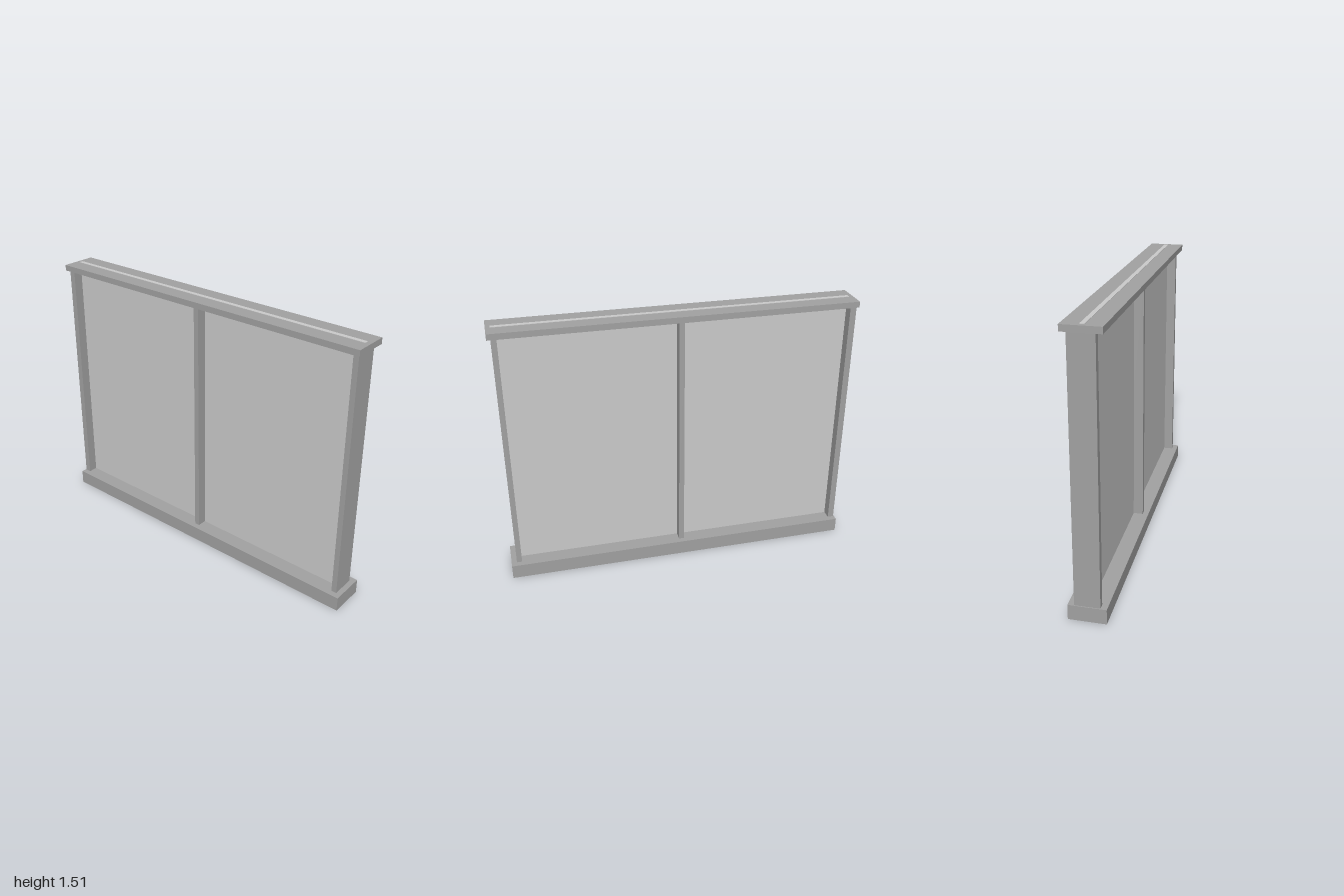
import * as THREE from 'three';

export function createModel() {
  const model = new THREE.Group();
  model.name = 'framedPanel';
  const frameMat = new THREE.MeshStandardMaterial({ color: 0xa2a2a2 });
  const panelMat = new THREE.MeshStandardMaterial({ color: 0xcccccc });

  // Box given by its x and y limits and its depth, centred on z = 0
  function addBox(name, x0, x1, y0, y1, depth, material = frameMat) {
    const mesh = new THREE.Mesh(new THREE.BoxGeometry(x1 - x0, y1 - y0, depth), material);
    mesh.position.set((x0 + x1) / 2, (y0 + y1) / 2, 0);
    mesh.name = name;
    model.add(mesh);
  }

  // Sill and top rail
  addBox('sill', -1, 1, 0.002, 0.085, 0.2);
  addBox('topRail', -0.995, 0.99, 1.475, 1.508, 0.2);

  // Upright posts, held between sill and rail
  addBox('rightPost', -0.995, -0.96, 0.08, 1.48, 0.134);
  addBox('middlePost', -0.027, 0.003, 0.08, 1.48, 0.134);
  addBox('leftPost', 0.94, 0.97, 0.08, 1.48, 0.134);

  // Thin panel, running just through the sill and rail
  addBox('panel', -0.97, 0.965, 0, 1.51, 0.024, panelMat);

  return model;
}
